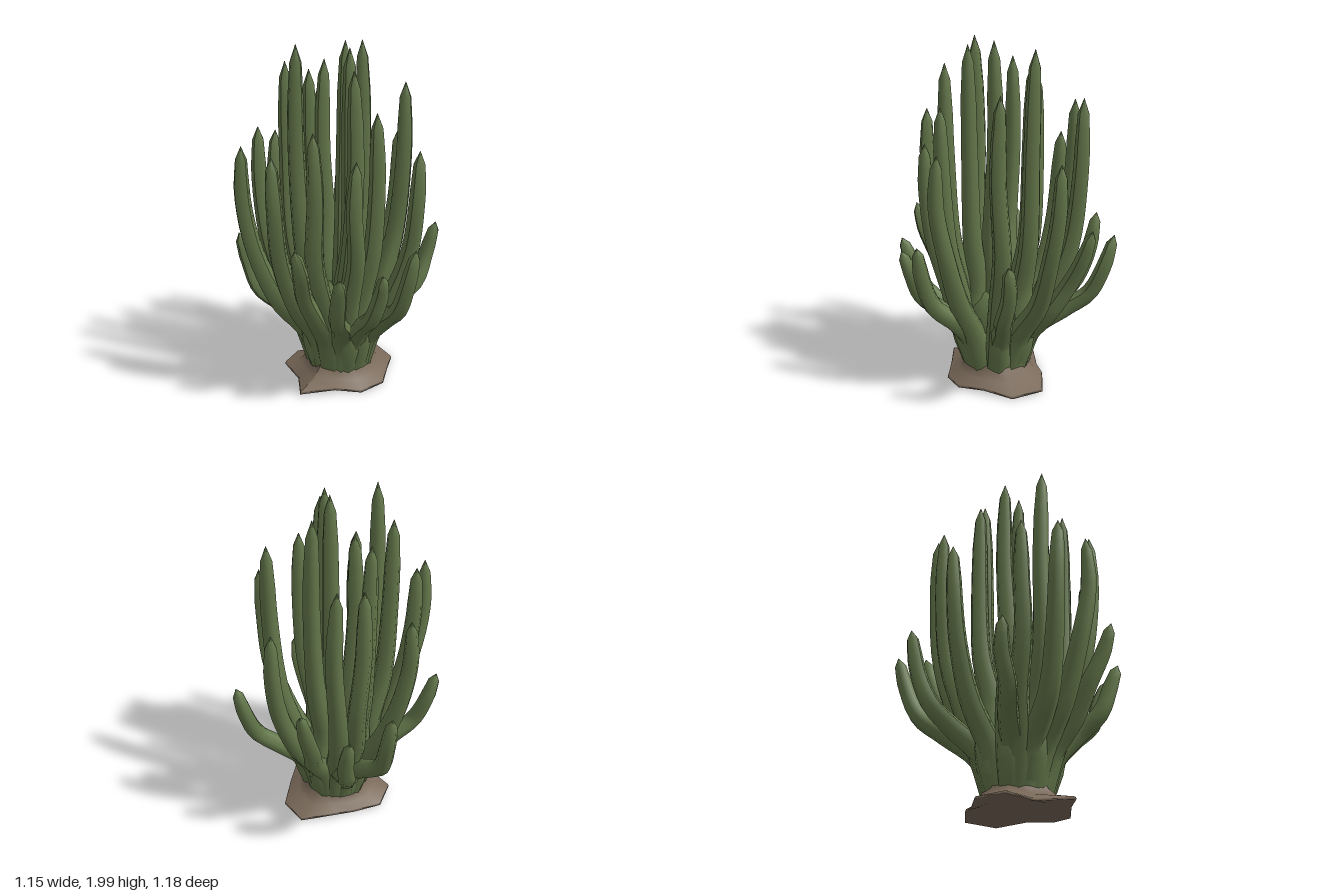
import * as THREE from 'three';

const green = new THREE.MeshStandardMaterial({ color: 0x64784b });
green.name = 'stem green';
const brown = new THREE.MeshStandardMaterial({ color: 0x7a6a5a });
brown.name = 'root brown';
const olive = new THREE.MeshStandardMaterial({ color: 0x6c6e50 });
olive.name = 'stained olive';

// Stem tips: x, z, height, and 1 for stems that elbow sharply upwards
const STEMS = [
  [-0.09, 0.27, 1.99, 0], [0.03, -0.01, 1.99, 0], [0.13, 0.09, 1.97, 0],
  [-0.03, -0.26, 1.96, 0], [-0.18, -0.1, 1.86, 0], [-0.27, 0.14, 1.87, 0],
  [-0.26, -0.06, 1.8, 0], [0.22, 0.18, 1.87, 0], [0.25, -0.28, 1.75, 0],
  [-0.35, -0.27, 1.66, 0], [0.32, 0.11, 1.65, 0], [-0.27, -0.4, 1.69, 0],
  [0.14, 0.43, 1.58, 0], [-0.33, 0.31, 1.53, 0], [-0.27, 0.52, 1.47, 0],
  [-0.05, 0.54, 1.45, 0], [0.3, 0.27, 1.42, 0], [0.05, -0.53, 1.4, 0],
  [-0.5, -0.04, 1.42, 0], [0.49, -0.05, 1.44, 0],
  [0.12, 0.57, 0.98, 0], [-0.16, -0.58, 1.0, 0], [-0.43, -0.52, 0.9, 1],
  [0.37, -0.46, 0.9, 1], [-0.55, -0.29, 0.96, 1], [0.55, 0.06, 0.92, 1],
  [0.48, 0.28, 0.83, 1], [-0.49, 0.32, 0.88, 1], [0.33, 0.46, 0.83, 1],
];

// Radius along a stem, thick at the foot and pointed at the tip
const PROFILE = [[0, 0.085], [0.25, 0.066], [0.5, 0.054], [0.85, 0.044], [0.95, 0.033], [1, 0.001]];
function stemRadius(t) {
  const i = Math.max(1, PROFILE.findIndex(([end]) => t <= end));
  const [t0, r0] = PROFILE[i - 1], [t1, r1] = PROFILE[i];
  return r0 + (r1 - r0) * (t - t0) / (t1 - t0);
}

// Tube whose rings are scaled to the stem radius
function taperedTube(points) {
  const segments = 20, sides = 7;
  const curve = new THREE.CatmullRomCurve3(points);
  const geometry = new THREE.TubeGeometry(curve, segments, 1, sides, false);
  const pos = geometry.attributes.position;
  const v = new THREE.Vector3();
  for (let i = 0; i <= segments; i++) {
    const centre = curve.getPointAt(i / segments);
    const r = stemRadius(i / segments);
    for (let j = 0; j <= sides; j++) {
      const k = i * (sides + 1) + j;
      v.fromBufferAttribute(pos, k).sub(centre).multiplyScalar(r).add(centre);
      pos.setXYZ(k, v.x, v.y, v.z);
    }
  }
  geometry.computeVertexNormals();
  return geometry;
}

function makeStem([x, z, h, elbow], index) {
  const R = Math.hypot(x, z), ux = x / R, uz = z / R;
  const foot = Math.min(0.11, R * 0.6);
  // Path as distance from the centre and height
  let path;
  if (elbow) {
    path = [[foot, 0.08], [0.2, 0.3], [R * 0.6, 0.44], [R * 0.8, 0.54], [R * 0.92, 0.71], [R, h]];
  } else if (h < 1.05) {
    path = [[foot, 0.08], [0.2, 0.3], [R * 0.59, 0.48], [R * 0.76, 0.65], [R * 0.9, 0.82], [R, h]];
  } else {
    const waist = Math.min(0.2, R * 0.7 + 0.03);
    path = [[foot, 0.08], [waist, 0.32], [R * 0.67, 0.55], [R * 0.89, 0.85],
      [R - 0.005, 0.85 + (h - 0.85) * 0.5], [R, h]];
  }
  const points = path.map(([r, y], i) => {
    const sway = i > 1 && i < 5 ? 0.015 * Math.sin(index * 2.3 + i * 1.9) : 0;
    return new THREE.Vector3(ux * r - uz * sway, y, uz * r + ux * sway);
  });
  const mesh = new THREE.Mesh(taperedTube(points), green);
  mesh.name = 'stem' + (index + 1);
  return mesh;
}

function lathe(profile, sides) {
  return new THREE.LatheGeometry(profile.map(([r, y]) => new THREE.Vector2(r, y)), sides);
}

// Flared root plate with an uneven rim
function makeRoot() {
  const rim = [1.22, 0.9, 0.95, 0.98, 0.9, 1.1, 1.18, 0.88, 0.8, 1.03, 1.05, 0.85];
  const profile = [[0, 0.05], [0.2, 0.03], [0.32, 0.01], [0.315, 0.025], [0.24, 0.06], [0.2, 0.11], [0.18, 0.18]];
  const geometry = lathe(profile, rim.length);
  const pos = geometry.attributes.position;
  for (let i = 0; i < pos.count; i++) {
    const side = Math.floor(i / profile.length) % rim.length;
    const r = profile[i % profile.length][0];
    const blend = THREE.MathUtils.clamp((r - 0.18) / 0.13, 0, 1);
    const s = 1 + (rim[side] - 1) * blend;
    const lift = blend * 0.012 * (1 + Math.sin(side * 2.1));
    pos.setXYZ(i, pos.getX(i) * s, pos.getY(i) + lift - 0.008, pos.getZ(i) * s);
  }
  geometry.computeVertexNormals();
  const mesh = new THREE.Mesh(geometry, brown);
  mesh.name = 'root';
  return mesh;
}

export function createModel() {
  const model = new THREE.Group();
  model.name = 'stemCluster';
  model.add(makeRoot());

  // Stained collar and the body where the stems join
  const collar = new THREE.Mesh(lathe([[0.18, 0.13], [0.19, 0.17], [0.19, 0.22]], 14), olive);
  collar.name = 'collar';
  const body = new THREE.Mesh(
    lathe([[0.19, 0.21], [0.2, 0.34], [0.18, 0.45], [0.12, 0.54], [0, 0.58]], 14), green);
  body.name = 'body';
  body.position.set(-0.02, 0, 0);
  model.add(collar, body);

  const stems = new THREE.Group();
  stems.name = 'stems';
  STEMS.forEach((stem, i) => stems.add(makeStem(stem, i)));
  model.add(stems);
  return model;
}
